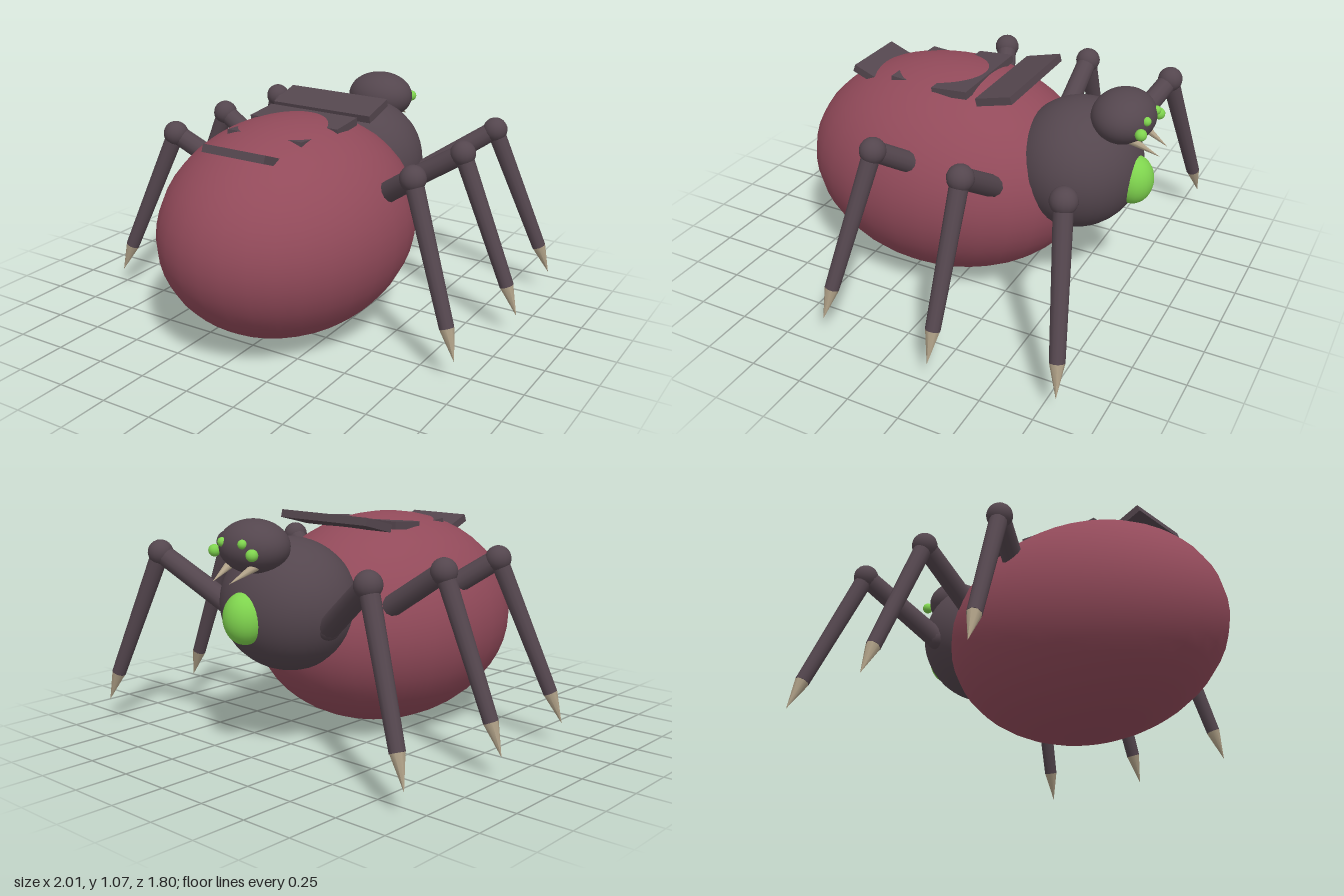
import * as THREE from 'three';

function material(name, color) {
  const m = new THREE.MeshStandardMaterial({ color });
  m.name = name;
  return m;
}

export function createModel() {
  const shell = material('dark shell', 0x54464e);
  const red = material('abdomen red', 0x924a5a);
  const green = material('glowing green', 0x7fd44e);
  const horn = material('horn beige', 0xb3a48a);
  const model = new THREE.Group();
  model.name = 'beetle';

  function add(parent, name, geometry, mat, position = [0, 0, 0]) {
    const mesh = new THREE.Mesh(geometry, mat);
    mesh.name = name;
    mesh.position.set(...position);
    parent.add(mesh);
    return mesh;
  }

  function ellipsoid(parent, name, mat, position, radii, segments = 32) {
    const geometry = new THREE.SphereGeometry(1, segments, Math.round(segments * 0.75)).scale(...radii);
    return add(parent, name, geometry, mat, position);
  }

  // Tapered rod from point a to point b
  function rod(parent, name, mat, a, b, rA, rB, sides = 12) {
    const from = new THREE.Vector3(...a), to = new THREE.Vector3(...b);
    const dir = to.clone().sub(from);
    const geometry = new THREE.CylinderGeometry(rB, rA, dir.length(), sides);
    const mesh = add(parent, name, geometry, mat, from.add(to).multiplyScalar(0.5).toArray());
    mesh.quaternion.setFromUnitVectors(new THREE.Vector3(0, 1, 0), dir.normalize());
    return mesh;
  }

  // Body: the head points towards -z
  ellipsoid(model, 'abdomen', red, [0, 0.52, 0.175], [0.57, 0.517, 0.72], 32);
  ellipsoid(model, 'thorax', shell, [0, 0.675, -0.5], [0.328, 0.305, 0.3]);
  ellipsoid(model, 'head', shell, [0, 0.957, -0.705], [0.172, 0.12, 0.145]);
  ellipsoid(model, 'chestGlow', green, [0, 0.647, -0.77], [0.1, 0.118, 0.095], 24);

  // Back plates, partly sunk in the abdomen: width, y, z, tilt
  const plates = [
    [0.54, 1.022, -0.188, 0.26],
    [0.48, 0.996, 0.055, 0.08],
    [0.4, 0.976, 0.295, -0.07],
    [0.33, 0.946, 0.535, -0.37],
  ];
  plates.forEach(([width, y, z, tilt], i) => {
    const plate = add(model, `backPlate${i + 1}`, new THREE.BoxGeometry(width, 0.037, 0.18), shell, [0, y, z]);
    plate.rotation.x = tilt;
  });

  // One leg built outwards along +x from the hip
  function leg(name, hip, yaw) {
    const group = new THREE.Group();
    group.name = name;
    group.position.set(...hip);
    group.rotation.y = yaw;
    const knee = [0.39, 0.255, 0], ankle = [0.65, -0.36, 0], tip = [0.708, -0.503, 0];
    ellipsoid(group, 'hipJoint', shell, [0, 0, 0], [0.054, 0.054, 0.054], 16);
    rod(group, 'thigh', shell, [0, 0, 0], knee, 0.052, 0.048);
    ellipsoid(group, 'kneeJoint', shell, knee, [0.061, 0.061, 0.061], 16);
    rod(group, 'shin', shell, knee, ankle, 0.043, 0.034);
    rod(group, 'claw', horn, ankle, tip, 0.034, 0, 8);
    model.add(group);
  }

  for (const [side, s] of [['left', 1], ['right', -1]]) {
    // Legs, turned half round for the right side
    [['front', -0.553, 1], ['middle', -0.25, 0], ['rear', 0.05, -1]].forEach(([row, z, turn]) => {
      const yaw = s > 0 ? turn * 0.4 : Math.PI - turn * 0.4;
      leg(`${side}${row}Leg`, [s * 0.298, 0.61, z], yaw);
    });

    // Face
    ellipsoid(model, `${side}OuterEye`, green, [s * 0.119, 0.941, -0.829], [0.027, 0.027, 0.027], 16);
    ellipsoid(model, `${side}InnerEye`, green, [s * 0.064, 0.983, -0.832], [0.021, 0.021, 0.021], 16);
    rod(model, `${side}Fang`, horn, [s * 0.078, 0.885, -0.77], [s * 0.052, 0.82, -0.902], 0.022, 0, 8);
  }
  return model;
}
